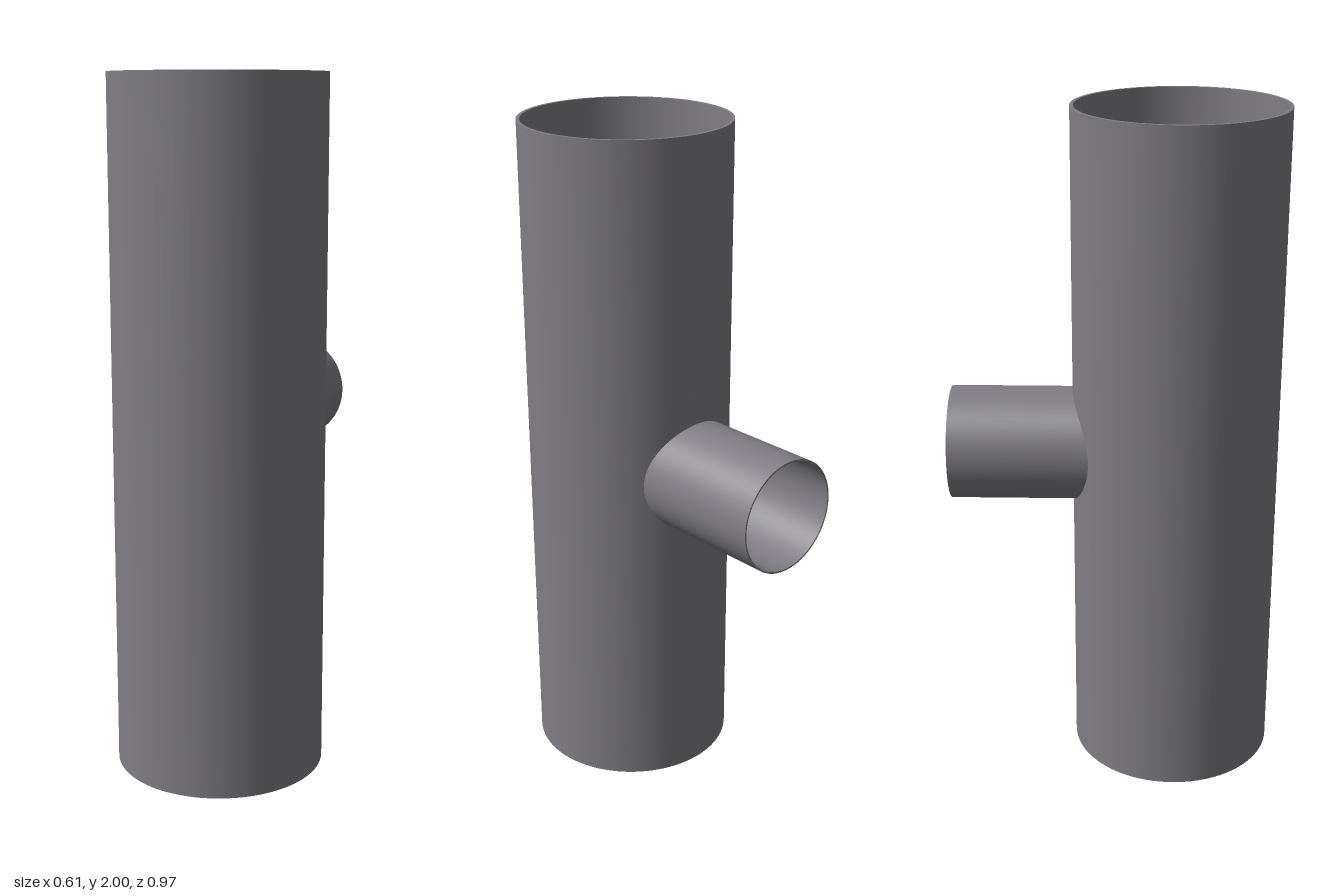
import * as THREE from 'three';
import { ParametricGeometry } from 'three/addons/geometries/ParametricGeometry.js';

const HEIGHT = 2, MAIN_Z = 0.18;
const MAIN_OUT = 0.305, MAIN_IN = 0.295;
const BRANCH_OUT = 0.168, BRANCH_IN = 0.163, BRANCH_Y = 1, BRANCH_END = -0.485;
const PATCH_ANGLE = Math.PI / 4, PATCH_HALF = 0.25;

export function createModel() {
  const group = new THREE.Group();
  const steel = new THREE.MeshStandardMaterial({ color: 0x807e84 });
  steel.name = 'grey steel';

  const add = (name, geometry) => {
    const mesh = new THREE.Mesh(geometry, steel);
    mesh.name = name;
    group.add(mesh);
    return mesh;
  };
  // Curved sheet from a rule; flip turns its front to the other side
  const sheet = (name, rule, slices, stacks, flip) =>
    add(name, new ParametricGeometry((u, v, p) => rule(flip ? 1 - u : u, v, p), slices, stacks));

  // Point on the main pipe wall
  const onPipe = (R, theta, y, p) => p.set(R * Math.sin(theta), y, MAIN_Z + R * Math.cos(theta));

  // Part of the main pipe wall, without the opening
  const wall = (name, R, inner, start, sweep, y0, y1) =>
    sheet(name, (u, v, p) => onPipe(R, start + u * sweep, y0 + v * (y1 - y0), p),
      Math.round(96 * sweep / (2 * Math.PI)), 1, inner);

  for (const inner of [false, true]) {
    const side = inner ? 'Inner' : 'Outer';
    const R = inner ? MAIN_IN : MAIN_OUT;
    const r = inner ? BRANCH_IN : BRANCH_OUT;
    const low = BRANCH_Y - PATCH_HALF, high = BRANCH_Y + PATCH_HALF;

    wall('lowerPipe' + side, R, inner, 0, 2 * Math.PI, 0, low);
    wall('upperPipe' + side, R, inner, 0, 2 * Math.PI, high, HEIGHT);
    wall('middlePipe' + side, R, inner, Math.PI + PATCH_ANGLE,
      2 * (Math.PI - PATCH_ANGLE), low, high);

    // Wall around the opening, from the round hole out to a square border
    sheet('openingWall' + side, (u, v, p) => {
      const t = u * 2 * Math.PI, c = Math.cos(t), s = Math.sin(t);
      const m = Math.max(Math.abs(c), Math.abs(s));
      const angle = THREE.MathUtils.lerp(Math.asin(r * c / R), PATCH_ANGLE * c / m, v);
      const y = THREE.MathUtils.lerp(r * s, PATCH_HALF * s / m, v);
      onPipe(R, Math.PI + angle, BRANCH_Y + y, p);
    }, 128, 6, !inner);

    // Branch tube, cut to the curve of the main pipe
    sheet('branch' + side, (u, v, p) => {
      const t = u * 2 * Math.PI, x = -r * Math.cos(t);
      const root = MAIN_Z - Math.sqrt(R * R - x * x);
      p.set(x, BRANCH_Y + r * Math.sin(t), THREE.MathUtils.lerp(root, BRANCH_END, v));
    }, 128, 1, inner);
  }

  // Rims at the three open ends
  const mainRim = new THREE.RingGeometry(MAIN_IN, MAIN_OUT, 96);
  const top = add('topRim', mainRim);
  top.rotation.x = -Math.PI / 2;
  top.position.set(0, HEIGHT, MAIN_Z);
  const bottom = add('bottomRim', mainRim);
  bottom.rotation.x = Math.PI / 2;
  bottom.position.set(0, 0, MAIN_Z);
  const end = add('branchRim', new THREE.RingGeometry(BRANCH_IN, BRANCH_OUT, 128));
  end.rotation.y = Math.PI;
  end.position.set(0, BRANCH_Y, BRANCH_END);

  return group;
}
